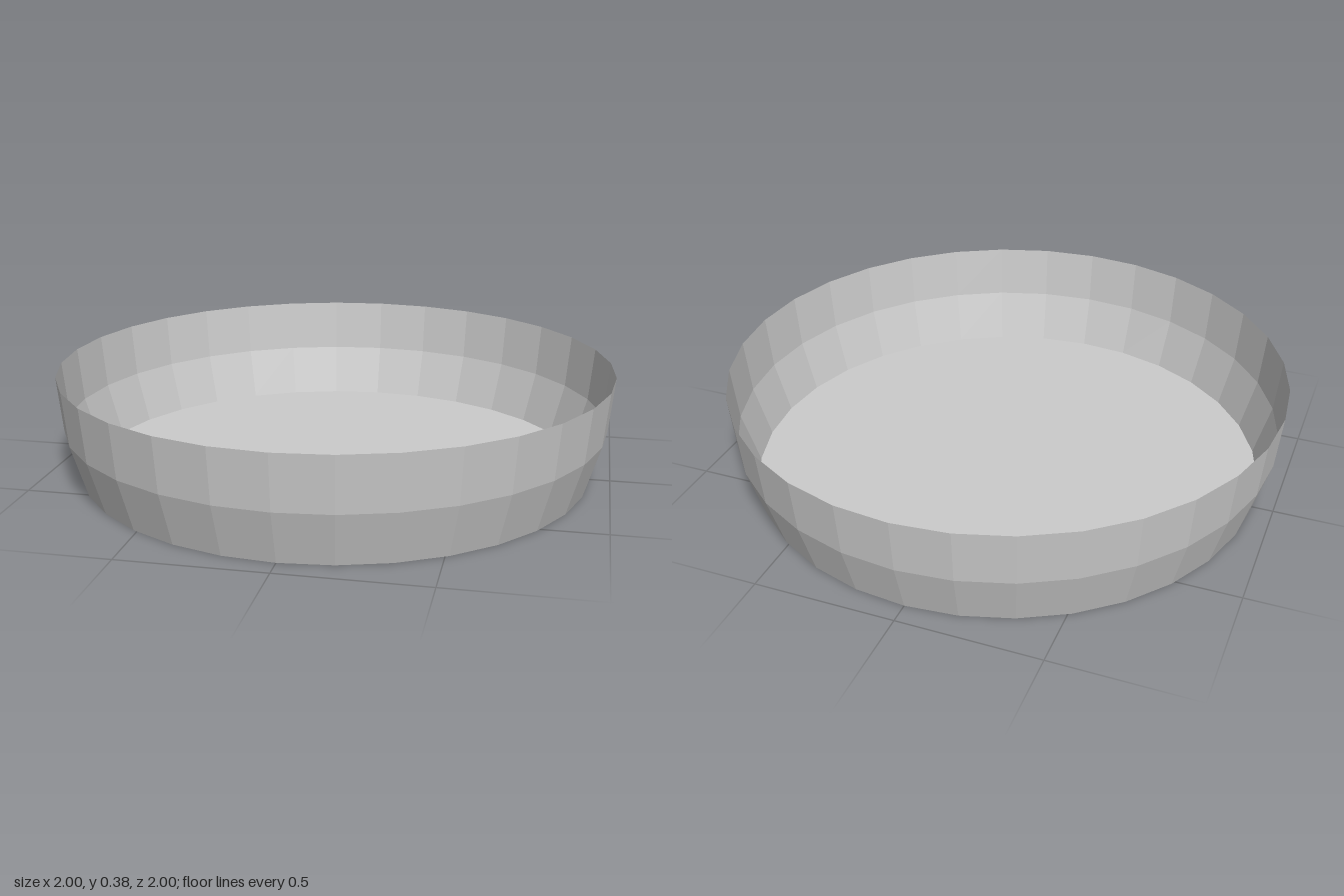
import * as THREE from 'three';

const SIDES = 32;

export function createModel() {
  const model = new THREE.Group();
  model.name = 'shallowDish';
  const material = new THREE.MeshStandardMaterial({
    color: 0xcccccc, flatShading: true, side: THREE.DoubleSide,
  });

  // Thin wall: a two-step band of a unit sphere, widest at the rim
  const step = Math.PI / 16;
  const height = Math.sin(2 * step);
  const profile = [2, 1, 0].map(
    (i) => new THREE.Vector2(Math.cos(i * step), height - Math.sin(i * step)));
  const wall = new THREE.Mesh(new THREE.LatheGeometry(profile, SIDES), material);
  wall.name = 'wall';
  model.add(wall);

  // Flat floor closing the bottom
  const floorGeometry = new THREE.CircleGeometry(profile[0].x, SIDES);
  floorGeometry.rotateX(-Math.PI / 2);
  const floor = new THREE.Mesh(floorGeometry, material);
  floor.name = 'floor';
  model.add(floor);

  return model;
}
